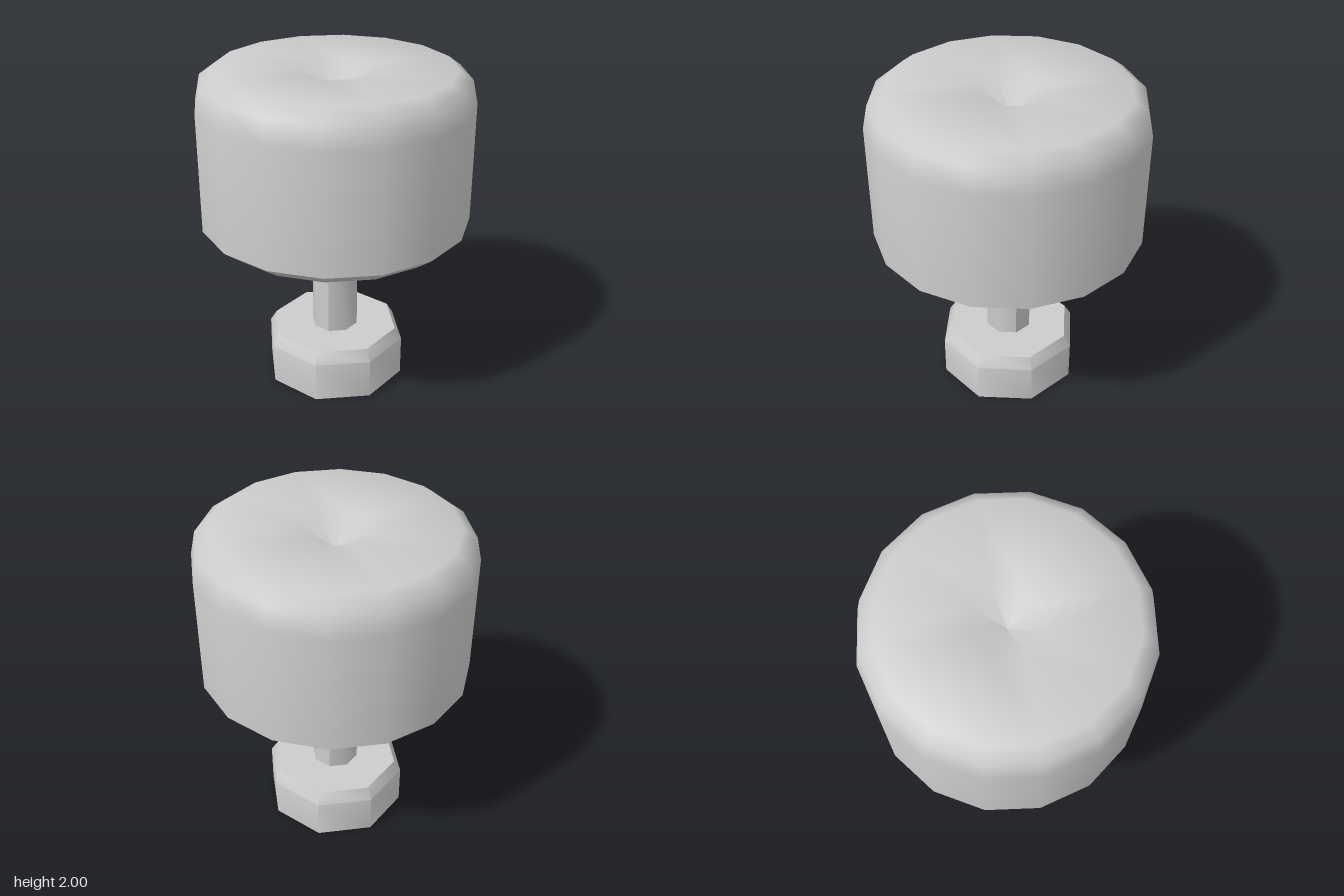
import * as THREE from 'three';
import { toCreasedNormals } from 'three/addons/utils/BufferGeometryUtils.js';

const grey = new THREE.MeshStandardMaterial({ color: 0xcccccc });
grey.name = 'plainGrey';

// Turned part whose flat sides face the axes; profile runs bottom to top as [half width, y]
function turned(profile, sides) {
  const corner = 1 / Math.cos(Math.PI / sides);
  const points = profile.map(([r, y]) => new THREE.Vector2(r * corner, y));
  return new THREE.LatheGeometry(points, sides, Math.PI / sides);
}

function addPart(group, name, geometry, creaseDegrees) {
  const mesh = new THREE.Mesh(toCreasedNormals(geometry, THREE.MathUtils.degToRad(creaseDegrees)), grey);
  mesh.name = name;
  group.add(mesh);
}

export function createModel() {
  const group = new THREE.Group();
  group.name = 'knob';

  // Octagonal foot with a bevelled top
  addPart(group, 'foot', turned([[0, 0], [0.405, 0], [0.405, 0.25], [0.365, 0.32], [0, 0.32]], 8), 46);

  // Octagonal stem, a hair narrower in z so only its side faces crease
  const stem = turned([[0.135, 0.31], [0.135, 1.01]], 8);
  stem.scale(1, 1, 0.99);
  addPart(group, 'stem', stem, 45);

  // Sixteen-sided head with a dimple in the top
  const head = turned([
    [0, 1], [0.7, 1], [0.8, 1.08], [0.8, 1.8], [0.77, 1.94], [0.69, 2], [0.211, 1.985], [0, 1.85],
  ], 16);
  // Merge the dimple rim's corners in pairs into an octagon
  const pos = head.attributes.position;
  const step = Math.PI / 4;
  for (let i = 0; i < pos.count; i++) {
    const r = Math.hypot(pos.getX(i), pos.getZ(i));
    if (r < 0.1 || r > 0.3) continue;
    const angle = (Math.round(Math.atan2(pos.getX(i), pos.getZ(i)) / step - 0.5) + 0.5) * step;
    pos.setX(i, r * Math.sin(angle));
    pos.setZ(i, r * Math.cos(angle));
  }
  addPart(group, 'head', head, 47);

  return group;
}
